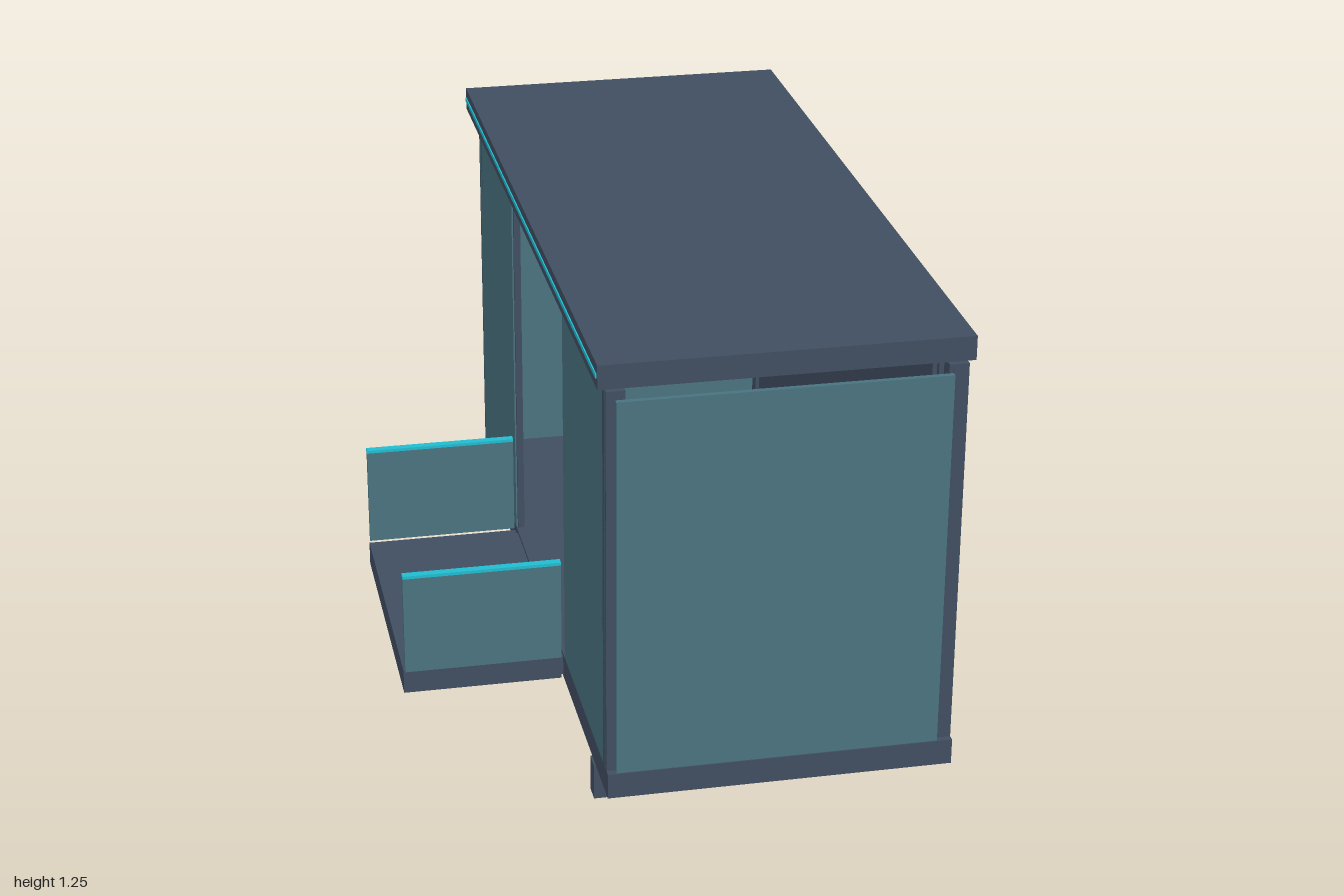
import * as THREE from 'three';

const mat = (name, color) => {
  const m = new THREE.MeshStandardMaterial({ color });
  m.name = name;
  return m;
};

export function createModel() {
  const slate = mat('slate', 0x425062);
  const glass = mat('tealGlass', 0x4b7583);
  const cyan = mat('cyanTrim', 0x22c0d4);
  const wood = mat('wood', 0x80552c);
  const model = new THREE.Group();
  model.name = 'cabin';

  // Box given by its min and max along each axis
  const box = (name, material, x0, x1, y0, y1, z0, z1) => {
    const mesh = new THREE.Mesh(new THREE.BoxGeometry(x1 - x0, y1 - y0, z1 - z0), material);
    mesh.position.set((x0 + x1) / 2, (y0 + y1) / 2, (z0 + z1) / 2);
    mesh.name = name;
    model.add(mesh);
    return mesh;
  };
  // The same box on both ends of the cabin
  const pair = (name, material, x0, x1, y0, y1, z0, z1) => {
    box(name + 'Front', material, x0, x1, y0, y1, z0, z1);
    box(name + 'Back', material, x0, x1, y0, y1, -z1, -z0);
  };

  // Skids, floor and roof
  pair('skid', slate, -0.225, 0.638, 0.004, 0.098, 0.755, 0.805);
  box('floorSlab', slate, -0.222, 0.638, 0.104, 0.17, -0.97, 0.97);
  box('roof', slate, -0.25, 0.638, 1.198, 1.258, -1, 1);
  box('roofLightStrip', cyan, -0.253, -0.249, 1.223, 1.234, -0.99, 0.99);

  // Rear wall, corner posts and glazed ends
  box('rearWall', slate, 0.6, 0.638, 0.17, 1.17, -0.953, 0.953);
  pair('rearPost', slate, 0.59, 0.637, 0.17, 1.17, 0.91, 0.952);
  pair('openSidePost', slate, -0.222, -0.176, 0.17, 1.17, 0.91, 0.952);
  pair('endGlass', glass, -0.2, 0.6, 0.17, 1.148, 0.953, 0.967);

  // Glazed panels either side of the doorway, with slim frames
  pair('facadeGlass', glass, -0.222, -0.204, 0.17, 1.168, 0.385, 0.945);
  pair('doorFrame', slate, -0.218, -0.2, 0.17, 1.168, 0.377, 0.385);

  // Wooden ceiling planks and cross rods
  for (let i = 0; i < 4; i++) {
    const x = -0.19 + i * 0.2;
    box('ceilingPlank', wood, x, x + 0.185, 1.194, 1.199, -0.93, 0.93);
  }
  pair('ceilingRod', slate, -0.2, 0.6, 1.177, 1.184, 0.822, 0.838);

  // Balcony with glass sides and bright rails
  box('balconyFloor', slate, -0.638, -0.228, 0.104, 0.168, -0.368, 0.368);
  box('balconyHinge', slate, -0.232, -0.218, 0.11, 0.162, -0.36, 0.36);
  pair('balconyGlass', glass, -0.635, -0.23, 0.172, 0.441, 0.371, 0.383);
  pair('balconyRail', cyan, -0.635, -0.23, 0.441, 0.449, 0.367, 0.388);

  // Interior: bench, table, wall battens
  box('bench', slate, 0.09, 0.598, 0.17, 0.35, 0.7, 0.95);
  box('tableTop', slate, 0.23, 0.598, 0.412, 0.428, -0.1, 0.48);
  box('tableLeg', slate, 0.5, 0.53, 0.17, 0.412, 0.1, 0.13);
  for (const z of [0.83, 0.88]) box('wallBatten', slate, 0.585, 0.6, 0.45, 1.15, z - 0.008, z + 0.008);

  // Loose wooden slats on the bench
  for (let i = 0; i < 6; i++) {
    const x = 0.17 + i * 0.055;
    const slat = box('woodSlat', wood, x - 0.045, x + 0.045, 0.352, 0.364, 0.875, 0.9);
    slat.rotation.y = i % 2 ? 0.6 : -0.4;
    slat.position.y += (i % 2) * 0.012;
  }
  return model;
}
